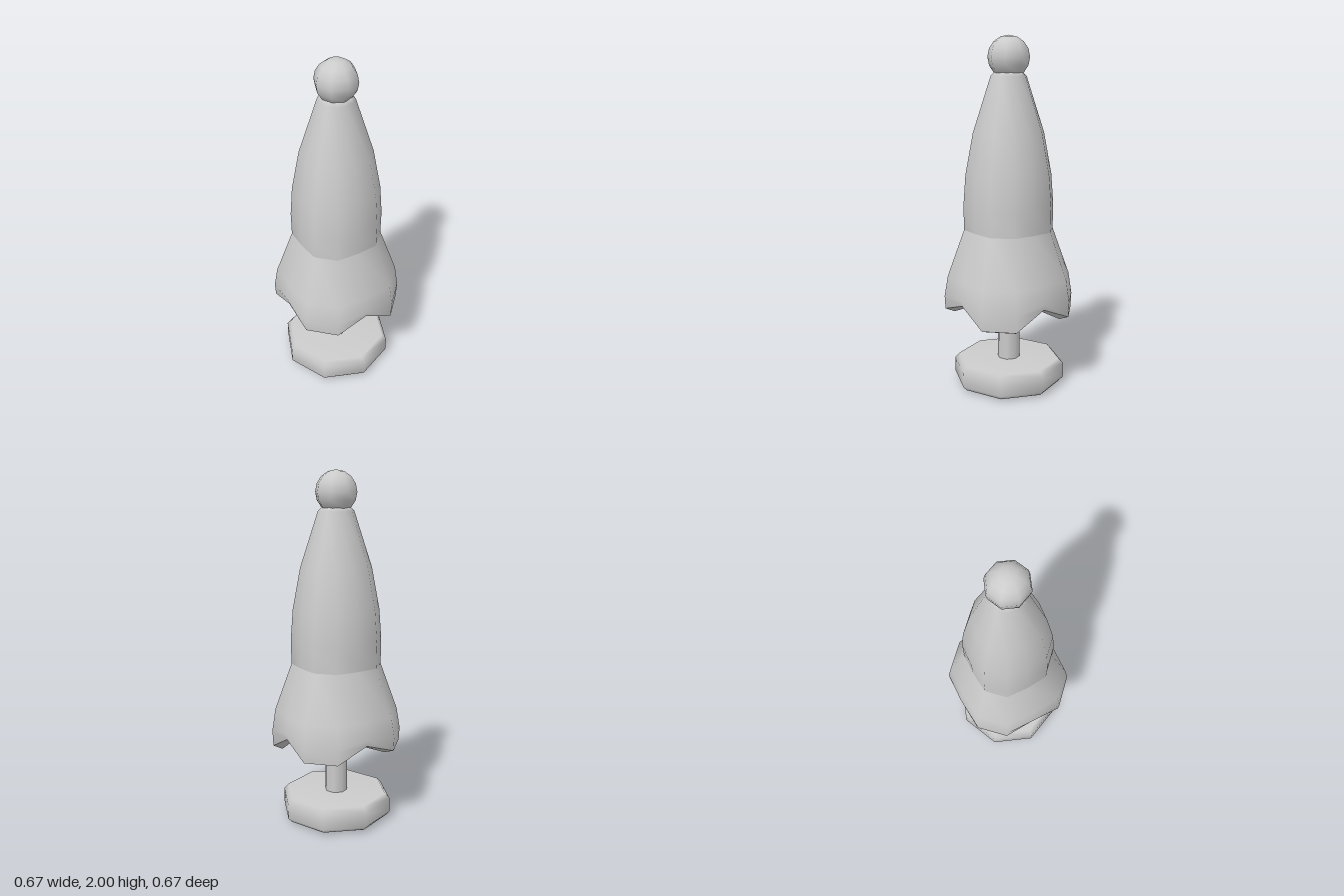
import * as THREE from 'three';

const grey = new THREE.MeshStandardMaterial({ color: 0xcccccc });
const SIDES = 12;
// how far each quadrant's hem hangs down (++, -+, --, +-)
const HANG = [1.2, 0.8, 0.8, 1];

// Skin twelve-sided rings listed as [y, valley radius, lobe radius, lobe drop]
function clothGeometry(rings) {
  const pos = [], index = [];
  for (const [y, valley, lobe, drop] of rings) {
    for (let k = 0; k < SIDES; k++) {
      const a = (k / SIDES) * Math.PI * 2;
      const isValley = k % 3 === 0;
      const r = isValley ? valley : lobe;
      const dy = isValley ? 0 : drop * HANG[Math.floor(k / 3)];
      pos.push(r * Math.cos(a), y - dy, r * Math.sin(a));
    }
  }
  for (let i = 0; i < rings.length - 1; i++) {
    for (let k = 0; k < SIDES; k++) {
      const n = (k + 1) % SIDES;
      const a = i * SIDES + k, b = i * SIDES + n;
      const c = a + SIDES, d = b + SIDES;
      index.push(a, b, c, b, d, c);
    }
  }
  const g = new THREE.BufferGeometry();
  g.setAttribute('position', new THREE.Float32BufferAttribute(pos, 3));
  g.setIndex(index);
  g.computeVertexNormals();
  return g;
}

export function createModel() {
  const model = new THREE.Group();
  model.name = 'closedParasol';
  const add = (name, geometry, y = 0) => {
    const mesh = new THREE.Mesh(geometry, grey);
    mesh.name = name;
    mesh.position.y = y;
    model.add(mesh);
  };

  // Weighted octagonal foot with bevelled rims
  const footProfile = [[0, 0], [0.15, 0], [0.3, 0.01], [0.323, 0.035], [0.323, 0.12], [0.295, 0.15], [0, 0.15]];
  add('base', new THREE.LatheGeometry(footProfile.map(([r, y]) => new THREE.Vector2(r, y)), 8));

  // Pole running up into the folded cloth
  add('pole', new THREE.CylinderGeometry(0.065, 0.065, 0.8, 8), 0.54);

  // Bound upper cloth, closed under the finial
  add('upperCloth', clothGeometry([
    [1.8, 0, 0, 0],
    [1.8, 0.075, 0.08, 0],
    [1.78, 0.095, 0.1, 0],
    [1.47, 0.184, 0.2, 0],
    [1.235, 0.221, 0.244, 0],
    [1.06, 0.233, 0.257, 0],
    [0.92, 0.229, 0.255, 0],
  ]));

  // Flared skirt with four hanging lobes
  add('skirt', clothGeometry([
    [0.92, 0.229, 0.255, 0],
    [0.65, 0.315, 0.352, 0],
    [0.555, 0.335, 0.372, 0.03],
    [0.52, 0.325, 0.368, 0.08],
  ]));

  // Thick hem, turned under
  add('hem', clothGeometry([
    [0.52, 0.325, 0.368, 0.08],
    [0.505, 0.285, 0.315, 0.085],
  ]));

  // Inside of the skirt, gathered to the pole
  add('lining', clothGeometry([
    [0.505, 0.285, 0.315, 0.085],
    [0.6, 0.24, 0.27, 0.05],
    [0.85, 0.15, 0.17, 0],
    [0.88, 0, 0, 0],
  ]));

  // Ball finial
  add('finial', new THREE.SphereGeometry(0.118, 8, 8), 1.882);

  return model;
}
